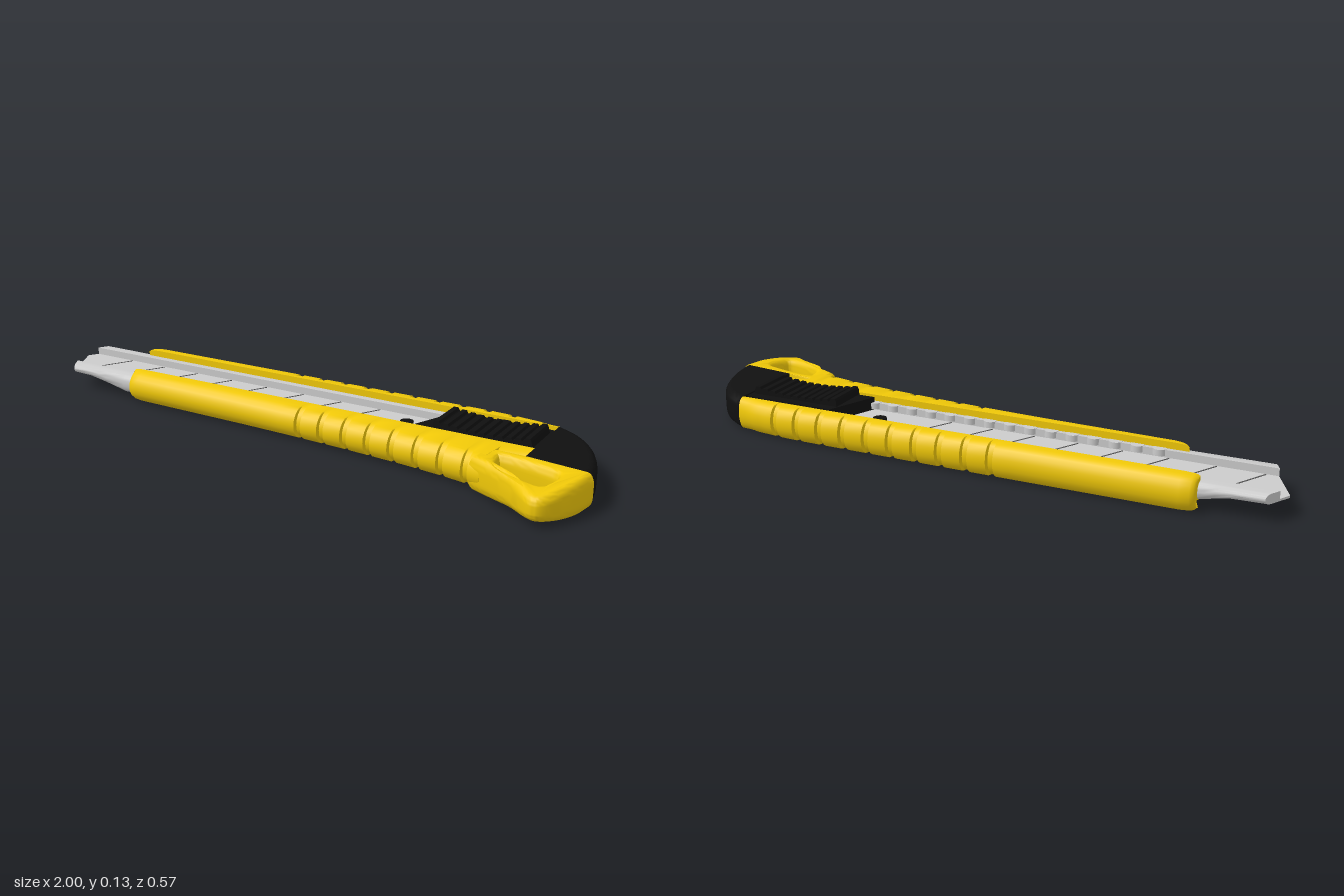
import * as THREE from 'three';
import { toCreasedNormals } from 'three/addons/utils/BufferGeometryUtils.js';

const yellow = new THREE.MeshStandardMaterial({ color: 0xf0c808 });
const black = new THREE.MeshStandardMaterial({ color: 0x101010 });
const grey = new THREE.MeshStandardMaterial({ color: 0xcccccc });
const dark = new THREE.MeshStandardMaterial({ color: 0x555555 });
const H = 0.108; // handle thickness

const v2 = (pts) => pts.map(([x, y]) => new THREE.Vector2(x, y));
const spline = (pts, n) => new THREE.SplineCurve(v2(pts)).getPoints(n);

// piecewise linear lookup
function lerpTable(table, x) {
  for (let i = 1; i < table.length; i++) {
    const [x0, y0] = table[i - 1], [x1, y1] = table[i];
    if (x <= x1) return y0 + (y1 - y0) * Math.max(0, (x - x0) / (x1 - x0));
  }
  return table[table.length - 1][1];
}

// C-shaped channel section as [z, y] points: rounded sides, slot open to the top
function channel({ zb, zf, y0, y1, rb, rf, slotB, slotF, floor }) {
  const ym = (y0 + y1) / 2, h = (y1 - y0) / 2, n = 10, pts = [[-0.16, y0]];
  for (let i = 0; i <= n; i++) {
    const a = -Math.PI / 2 + (Math.PI * i) / n;
    pts.push([zf - rf + rf * Math.cos(a), ym + h * Math.sin(a)]);
  }
  pts.push([slotF, y1], [slotF, floor], [-0.16, floor], [slotB, floor], [slotB, y1]);
  for (let i = 0; i <= n; i++) {
    const a = Math.PI / 2 + (Math.PI * i) / n;
    pts.push([zb + rb + rb * Math.cos(a), ym + h * Math.sin(a)]);
  }
  return pts;
}

// joins sections along x; shift(x, z) gives the final x of a point
function loft(xs, sectionAt, shift) {
  const pos = [], idx = [];
  const rings = xs.map(sectionAt), n = rings[0].length, last = (xs.length - 1) * n;
  rings.forEach((r, i) => r.forEach(([z, y]) => pos.push(shift(xs[i], z), y, z)));
  for (let i = 0; i < xs.length - 1; i++) {
    for (let j = 0; j < n; j++) {
      const a = i * n + j, b = i * n + ((j + 1) % n);
      idx.push(a, a + n, b + n, a, b + n, b);
    }
  }
  THREE.ShapeUtils.triangulateShape(v2(rings[0]), []).forEach(([a, b, c]) => idx.push(a, b, c));
  THREE.ShapeUtils.triangulateShape(v2(rings[rings.length - 1]), [])
    .forEach(([a, b, c]) => idx.push(last + a, last + c, last + b));
  const g = new THREE.BufferGeometry();
  g.setAttribute('position', new THREE.Float32BufferAttribute(pos, 3));
  g.setIndex(idx);
  return toCreasedNormals(g, 0.7);
}

// flat slab from an outline in x and z with rounded edges; rule moves its vertices
function slab(outline, y0, y1, size, thick, rule, hole) {
  const shape = new THREE.Shape(outline);
  if (hole) shape.holes.push(new THREE.Path(hole));
  const g = new THREE.ExtrudeGeometry(shape, {
    depth: y1 - y0 - 2 * thick, bevelEnabled: thick > 0, bevelSize: size,
    bevelThickness: thick, bevelOffset: -size, bevelSegments: 6,
  });
  g.rotateX(Math.PI / 2).translate(0, y1 - thick, 0);
  const p = g.attributes.position, v = new THREE.Vector3();
  for (let i = 0; rule && i < p.count; i++) {
    rule(v.fromBufferAttribute(p, i));
    p.setXYZ(i, v.x, v.y, v.z);
  }
  return toCreasedNormals(g, 0.7);
}

export function createModel() {
  const model = new THREE.Group();
  const add = (name, geometry, material, parent = model) => {
    const mesh = new THREE.Mesh(geometry, material);
    mesh.name = name;
    parent.add(mesh);
    return mesh;
  };

  // handle: channel with grip notches and a slanted front end
  const frontEdge = [[-0.66, 0.042], [-0.2, 0.055], [0, 0.064], [0.2, 0.077], [0.4, 0.095],
    [0.55, 0.115], [0.635, 0.132], [0.69, 0.152], [0.7, 0.07], [0.79, 0.05]];
  const backEdge = [[-0.66, -0.28], [-0.2, -0.284], [0.55, -0.284], [0.63, -0.28], [0.72, -0.27], [0.79, -0.25]];
  const notches = Array.from({ length: 10 }, (_, k) => 0.635 - 0.0855 * k);
  const xs = [-0.66, -0.655, -0.645, -0.62, -0.5, -0.35, -0.3, -0.2, 0.67, 0.69, 0.7, 0.72, 0.74, 0.76, 0.79];
  notches.forEach((x) => xs.push(x - 0.012, x - 0.009, x + 0.009, x + 0.012));
  xs.sort((a, b) => a - b);
  const endInset = [[-0.66, 0.015], [-0.655, 0.008], [-0.645, 0.003], [-0.62, 0]];
  add('handleBody', loft(xs, (x) => {
    const inset = lerpTable(endInset, x);
    const k = notches.findIndex((c) => Math.abs(c - x) < 0.0095);
    const zb = lerpTable(backEdge, x) + inset + (k >= 0 ? 0.013 : 0);
    const zf = lerpTable(frontEdge, x) - inset - (k >= 0 && k < 8 ? 0.013 : 0);
    return channel({
      zb, zf, y0: inset * 0.5, y1: H - inset * 0.5, floor: 0.03, slotB: -0.22, slotF: -0.02,
      rb: Math.min(0.038, -0.224 - zb), rf: Math.min(0.055, zf + 0.024),
    });
  }, (x, z) => x - 0.1 * Math.min(1, Math.max(0, -z / 0.22)) * Math.min(1, Math.max(0, (-0.3 - x) / 0.34))), yellow);

  // tail with the lanyard hole, thinning towards its tip
  const seam = (x) => 0.05 + (0.025 * Math.max(0, x - 0.79)) / 0.21;
  const tail = spline([[0.998, 0.08], [0.985, 0.15], [0.955, 0.225], [0.925, 0.272], [0.895, 0.283],
    [0.86, 0.26], [0.8, 0.205], [0.74, 0.173], [0.69, 0.15], [0.65, 0.13]], 40);
  const hole = new THREE.SplineCurve(v2([[0.725, 0.08], [0.77, 0.083], [0.89, 0.112], [0.914, 0.135],
    [0.903, 0.185], [0.88, 0.203], [0.77, 0.165], [0.735, 0.125], [0.725, 0.08]])).getPoints(40).slice(0, -1);
  add('handleTail', slab([...v2([[0.65, 0.03], [0.8, 0.03], [1, 0.05]]), ...tail], 0.0005, H - 0.0005, 0.02, 0.035, (v) => {
    if (v.x > 0.78) v.z = Math.max(v.z, seam(v.x));
    const t = Math.max(0, v.z - 0.12) / 0.165;
    v.y = H / 2 + (v.y - H / 2) * (1 - 0.4 * t * t);
  }, hole), yellow);

  // end cap closing the back of the handle
  const capCurve = spline([[0.79, -0.25], [0.87, -0.2], [0.935, -0.12], [0.98, -0.015], [0.998, 0.075]], 24);
  add('endCap', slab([...v2([[0.76, -0.25]]), ...capCurve, ...v2([[0.998, 0.106], [0.76, 0.078]])], 0, H, 0.03, 0.03, (v) => {
    v.x = Math.max(v.x, 0.79);
    v.z = Math.min(v.z, seam(v.x));
  }), black);

  // metal blade holder, tapering outside the handle, with a pointed front
  const holderBottom = [[-0.92, 0.055], [-0.85, 0.052], [-0.78, 0.038], [-0.7, 0.02], [0.78, 0.02]];
  const tip = [[-0.245, -0.03], [-0.16, -0.08], [0.01, 0]];
  add('bladeHolder', loft([-0.92, -0.88, -0.85, -0.81, -0.78, -0.74, -0.7, 0.78], (x) => channel({
    zb: -0.245, zf: 0.01, y0: lerpTable(holderBottom, x), y1: 0.086, floor: 0.062,
    slotB: -0.195, slotF: -0.035, rb: 0.02, rf: 0.02,
  }), (x, z) => (x < -0.9 ? x + lerpTable(tip, z) : x)), grey);

  // snap lines across the blade
  const lines = new THREE.Group();
  lines.name = 'bladeSnapLines';
  model.add(lines);
  for (let i = 0; i < 8; i++) {
    const line = add('snapLine', new THREE.BoxGeometry(0.005, 0.001, 0.175), dark, lines);
    line.position.set(-0.86 + 0.145 * i, 0.0625, -0.115);
    line.rotation.y = -0.52;
  }

  // scalloped locking teeth along the front lip
  const teeth = new THREE.Group();
  teeth.name = 'lockingTeeth';
  model.add(teeth);
  for (let i = 0; i < 15; i++) {
    const tooth = add('lockingTooth', new THREE.CylinderGeometry(0.022, 0.022, 0.02, 16), grey, teeth);
    tooth.position.set(-0.58 + 0.07 * i, 0.077, -0.025);
  }

  // pin on the blade
  add('bladePin', new THREE.CylinderGeometry(0.022, 0.022, 0.012, 24), black).position.set(0.33, 0.066, -0.12);

  // slider: slanted base plate and a ridged thumb pad
  add('sliderBase', slab(v2([[0.4, -0.032], [0.468, -0.197], [0.789, -0.197], [0.789, -0.032]]), 0.06, 0.104, 0, 0), black);
  const pad = [[0.46, 0.09]];
  for (let i = 0; i < 11; i++) {
    const x = 0.463 + i * 0.029, u = (i - 5) / 5, y = 0.118 + 0.012 * u * u;
    pad.push([x, y - 0.008], [x + 0.004, y], [x + 0.019, y], [x + 0.023, y - 0.008]);
  }
  pad.push([0.785, 0.09]);
  const padGeometry = new THREE.ExtrudeGeometry(new THREE.Shape(v2(pad)), { depth: 0.143, bevelEnabled: false });
  add('sliderThumbPad', padGeometry.translate(0, 0, -0.17), black);
  for (const x of [0.54, 0.63, 0.72]) {
    add('sliderSideBump', new THREE.CylinderGeometry(0.022, 0.022, 0.04, 16), black).position.set(x, 0.084, -0.187);
  }
  return model;
}
